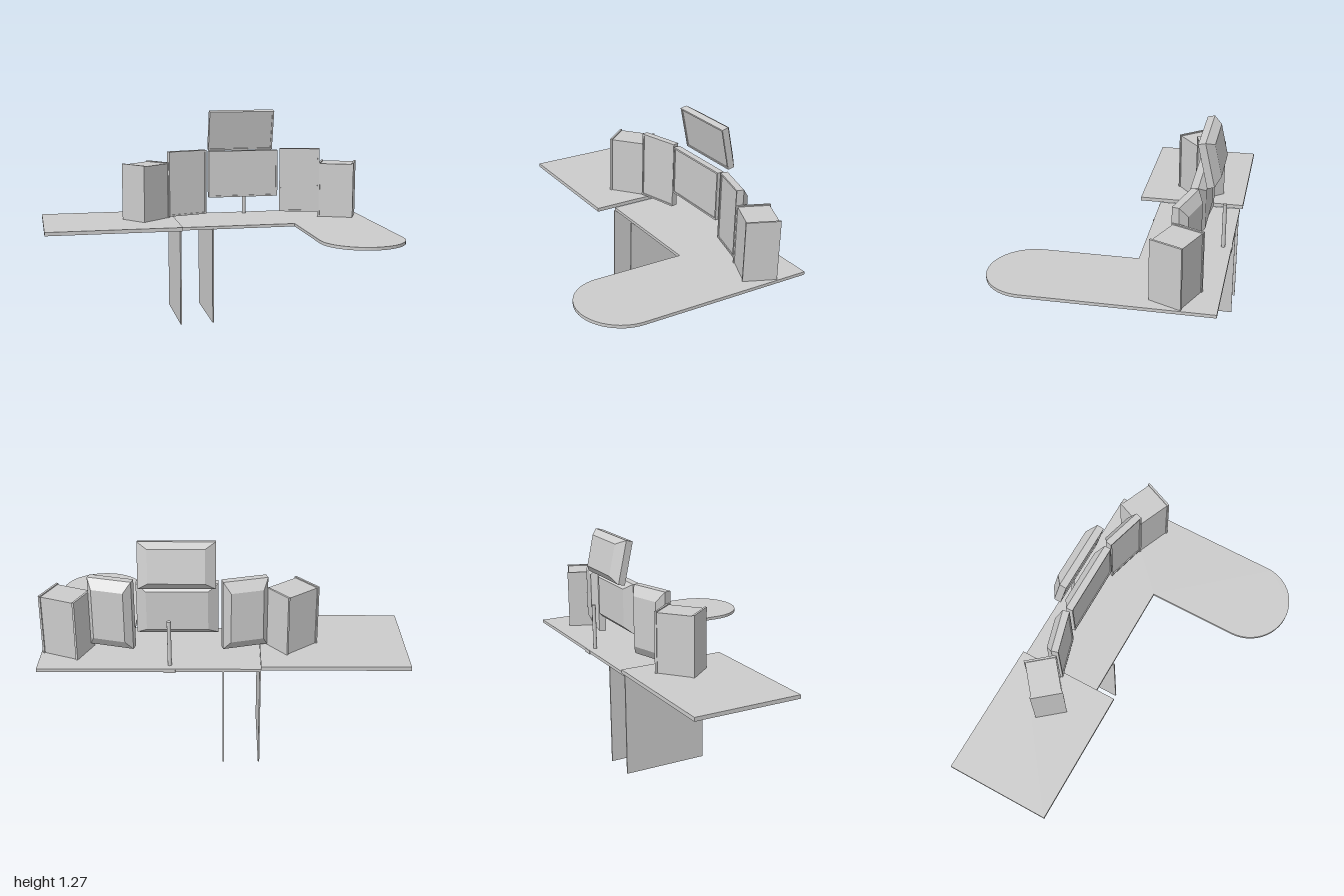
import * as THREE from 'three';

const grey = new THREE.MeshStandardMaterial({ color: 0xcccccc });

function add(parent, name, geometry, x = 0, y = 0, z = 0) {
  const mesh = new THREE.Mesh(geometry, grey);
  mesh.name = name;
  mesh.position.set(x, y, z);
  parent.add(mesh);
  return mesh;
}

const box = (w, h, d) => new THREE.BoxGeometry(w, h, d);

// box whose back (-z) face is drawn in by insetX and insetY
function taperedBox(w, h, d, insetX, insetY) {
  const g = box(w, h, d);
  const p = g.attributes.position;
  for (let i = 0; i < p.count; i++) {
    if (p.getZ(i) < 0) {
      p.setX(i, p.getX(i) - Math.sign(p.getX(i)) * insetX);
      p.setY(i, p.getY(i) - Math.sign(p.getY(i)) * insetY);
    }
  }
  g.computeVertexNormals();
  return g;
}

// rectangular ring with its front at z = 0
function frameGeometry(w, h, border, depth) {
  const rect = (P, a, b) => new P([[-a, -b], [a, -b], [a, b], [-a, b]].map(([x, y]) => new THREE.Vector2(x, y)));
  const shape = rect(THREE.Shape, w / 2, h / 2);
  shape.holes.push(rect(THREE.Path, w / 2 - border, h / 2 - border));
  return new THREE.ExtrudeGeometry(shape, { depth, bevelEnabled: false }).translate(0, 0, -depth);
}

// monitor with a recessed screen and a tapered back; front face at local z = 0
function monitor(name, w, h, insetX, insetY) {
  const g = new THREE.Group();
  g.name = name;
  add(g, 'bezel', frameGeometry(w, h, 0.01, 0.006));
  add(g, 'screenBody', box(w, h, 0.034), 0, 0, -0.023);
  add(g, 'taperedBack', taperedBox(w, h, 0.038, insetX, insetY), 0, 0, -0.059);
  return g;
}

// computer case: inner box between two slightly larger end panels
function tower(name, w, h, d) {
  const g = new THREE.Group();
  g.name = name;
  add(g, 'caseBody', box(w - 0.01, h - 0.006, d - 0.012), 0, (h - 0.006) / 2, 0);
  for (const s of [-1, 1]) add(g, 'endPanel', box(0.012, h, d), s * (w / 2 - 0.006), h / 2, 0);
  return g;
}

export function createModel() {
  const model = new THREE.Group();
  model.name = 'workstation';

  // side table
  add(model, 'sideTable', box(0.8, 0.022, 0.615), -0.6, 0.609, -0.328);

  // L-shaped desk top with a rounded end, drawn in plan with y = -z
  const plan = new THREE.Shape();
  plan.moveTo(-0.2, 0.62);
  plan.lineTo(-0.2, 0.14);
  plan.lineTo(0.51, 0.14);
  plan.lineTo(0.51, -0.39);
  plan.absellipse(0.755, -0.39, 0.245, 0.238, Math.PI, 2 * Math.PI, false);
  plan.lineTo(1, 0.62);
  plan.closePath();
  const top = new THREE.ExtrudeGeometry(plan, { depth: 0.018, bevelEnabled: false, curveSegments: 12 });
  add(model, 'deskTop', top.rotateX(-Math.PI / 2), 0, 0.579, 0);

  // support panels
  for (const x of [-0.196, 0.002]) add(model, 'supportPanel', box(0.008, 0.58, 0.484), x, 0.29, -0.373);

  // monitors
  const centre = monitor('centreMonitor', 0.44, 0.29, 0.055, 0.034);
  centre.position.set(0.247, 0.875, -0.405);
  const upper = monitor('upperMonitor', 0.41, 0.25, 0.055, 0.034);
  upper.position.set(0.245, 1.138, -0.462);
  upper.rotation.x = 0.22;
  model.add(centre, upper);
  for (const [name, x, turn] of [['rightMonitor', -0.108, 0.27], ['leftMonitor', 0.602, -0.27]]) {
    const m = monitor(name, 0.25, 0.4, 0.034, 0.055);
    m.position.set(x, 0.828, -0.38);
    m.rotation.y = turn;
    model.add(m);
  }

  // computer cases
  const rightCase = tower('rightTower', 0.227, 0.342, 0.184);
  rightCase.position.set(-0.372, 0.62, -0.363);
  rightCase.rotation.y = 0.69;
  const leftCase = tower('leftTower', 0.22, 0.343, 0.187);
  leftCase.position.set(0.855, 0.597, -0.395);
  leftCase.rotation.y = -0.4;
  model.add(rightCase, leftCase);

  // monitor pole and desk clamp
  add(model, 'pole', new THREE.CylinderGeometry(0.011, 0.011, 0.275, 16), 0.288, 0.72, -0.573);
  add(model, 'clampPlate', box(0.026, 0.004, 0.088), 0.288, 0.576, -0.575);
  add(model, 'clampBack', box(0.062, 0.022, 0.004), 0.288, 0.585, -0.621);

  return model;
}
